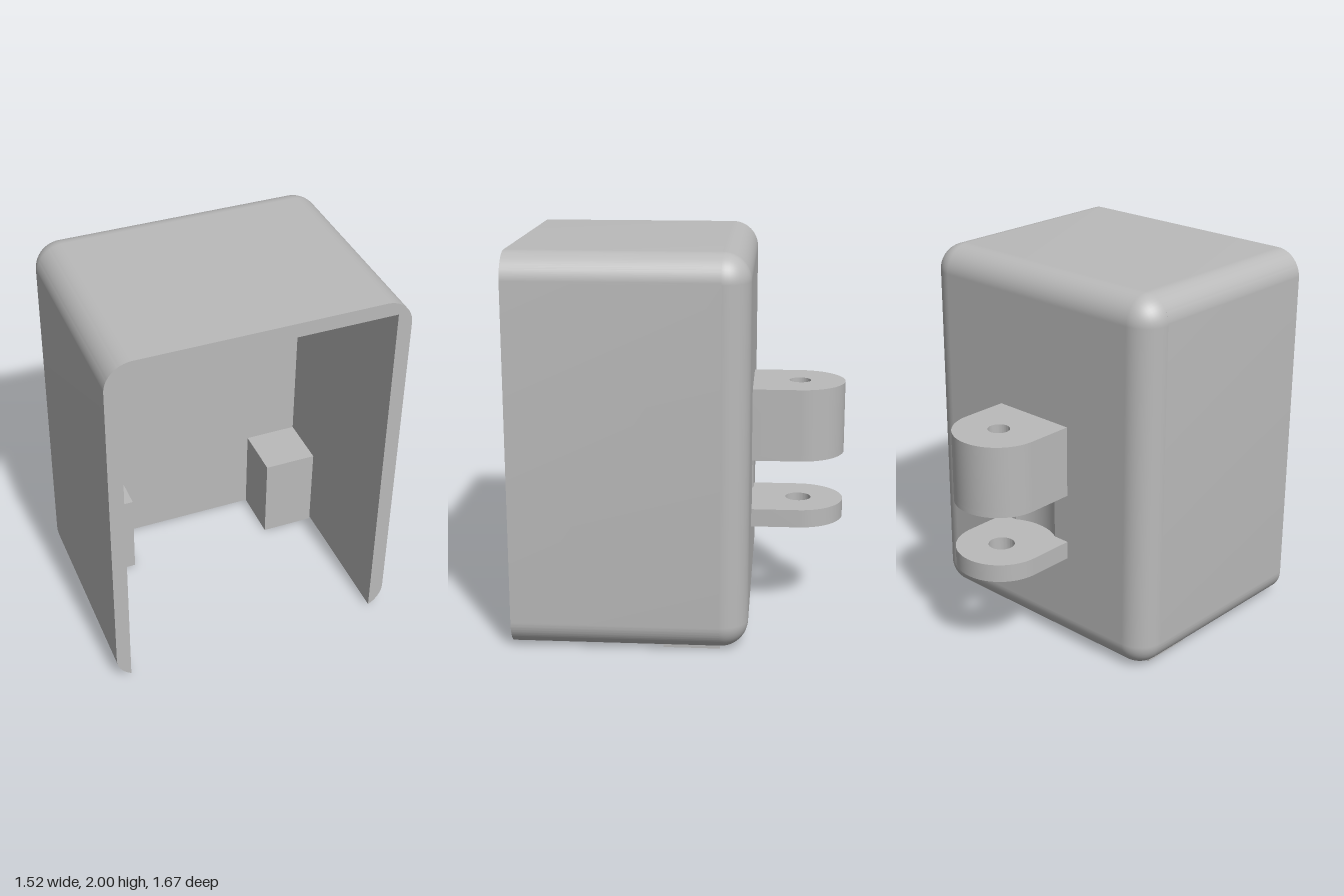
import * as THREE from 'three';
import { toCreasedNormals } from 'three/addons/utils/BufferGeometryUtils.js';

const W = 0.76, H = 2, R = 0.14;             // outer half width, height, edge radius
const IN = 0.685, TOP = 1.925;               // cavity half width and ceiling
const FRONT = 0.835, INNER = -0.215, BACK = INNER - R;
const PIN_Z = -0.6, LUG_R = 0.237, HOLE_R = 0.057, SINK_R = 0.086, SINK = 0.03;

const grey = new THREE.MeshStandardMaterial({ color: 0xbababa, side: THREE.DoubleSide });
grey.name = 'grey plastic';

function part(group, name, geometry) {
  const mesh = new THREE.Mesh(geometry, grey);
  mesh.name = name;
  group.add(mesh);
  return mesh;
}

// Horizontal plate: outline drawn in (x, -z), extruded from y0 to y1
function plate(shape, y0, y1, hole) {
  if (hole) {
    const path = new THREE.Path();
    path.absarc(hole.x, -hole.z, hole.r, 0, Math.PI * 2, true);
    shape.holes = [path];
  } else shape.holes = [];
  const g = new THREE.ExtrudeGeometry(shape, { depth: y1 - y0, bevelEnabled: false, curveSegments: 32 });
  g.rotateX(-Math.PI / 2).translate(0, y0, 0);
  return toCreasedNormals(g, 0.5);
}

// Conical lead-in at the lower end of a hole
function leadIn(x, y, z) {
  return new THREE.CylinderGeometry(HOLE_R, SINK_R, SINK, 32, 1, true).translate(x, y + SINK / 2, z);
}

function rectangle(x0, y0, x1, y1) {
  return new THREE.Shape([[x0, y0], [x1, y0], [x1, y1], [x0, y1]].map(p => new THREE.Vector2(...p)));
}

// Side walls and roof, open at the front and underneath
function wallsGeometry() {
  const cx = W - R, a = Math.acos((IN - cx) / R);
  const s = new THREE.Shape();
  s.absarc(cx, R, R, -a, 0, false);
  s.absarc(cx, H - R, R, 0, Math.PI / 2, false);
  s.absarc(-cx, H - R, R, Math.PI / 2, Math.PI, false);
  s.absarc(-cx, R, R, Math.PI, Math.PI + a, false);
  s.lineTo(-IN, TOP);
  s.lineTo(IN, TOP);
  s.closePath();
  const g = new THREE.ExtrudeGeometry(s, { depth: FRONT - INNER, bevelEnabled: false, curveSegments: 12 });
  return toCreasedNormals(g.translate(0, 0, INNER), 0.5);
}

// Rounded rectangle loop with fixed corner centres and a shrinking radius
function loop(r) {
  const pts = [], n = 12;
  [[1, 1], [-1, 1], [-1, -1], [1, -1]].forEach(([sx, sy], q) => {
    for (let i = 0; i <= n; i++) {
      const t = (q + i / n) * Math.PI / 2;
      pts.push([sx * (W - R) + r * Math.cos(t), H / 2 + sy * (H / 2 - R) + r * Math.sin(t)]);
    }
  });
  return pts;
}

// Rounded rim of the back wall, swept from the walls to the flat back face
function rimGeometry() {
  const pos = [], nor = [], idx = [], rows = 12, m = 52;
  for (let j = 0; j <= rows; j++) {
    const b = (j / rows) * Math.PI / 2;
    loop(R * Math.cos(b)).forEach(([x, y], i) => {
      const t = (Math.floor(i / 13) + (i % 13) / 12) * Math.PI / 2;
      pos.push(x, y, INNER - R * Math.sin(b));
      nor.push(Math.cos(t) * Math.cos(b), Math.sin(t) * Math.cos(b), -Math.sin(b));
    });
  }
  for (let j = 0; j < rows; j++) for (let i = 0; i < m; i++) {
    const a = j * m + i, b = j * m + (i + 1) % m;
    idx.push(a, a + m, b, b, a + m, b + m);
  }
  const g = new THREE.BufferGeometry();
  g.setAttribute('position', new THREE.Float32BufferAttribute(pos, 3));
  g.setAttribute('normal', new THREE.Float32BufferAttribute(nor, 3));
  g.setIndex(idx);
  return g;
}

export function createModel() {
  const model = new THREE.Group();
  model.name = 'hingedCover';

  part(model, 'sideWallsAndRoof', wallsGeometry());
  part(model, 'backRim', rimGeometry());

  // Inner face of the back wall
  const inner = new THREE.Shape(loop(R).map(p => new THREE.Vector2(...p)));
  part(model, 'backInnerFace', new THREE.ShapeGeometry(inner).translate(0, 0, INNER));

  // Flat outer back face with a shallow round recess between the lugs
  const lugLow = [0.5, 0.595], lugHigh = [0.86, 1.24], clearR = 0.285;
  const half = Math.sqrt(clearR ** 2 - (BACK - PIN_Z) ** 2);
  const outer = rectangle(-(W - R), R, W - R, H - R);
  outer.holes.push(rectangle(-half, lugLow[1], half, lugHigh[0]));
  part(model, 'backOuterFace', new THREE.ShapeGeometry(outer).rotateY(Math.PI).translate(0, 0, BACK));
  const phi = Math.asin(half / clearR), gap = lugHigh[0] - lugLow[1];
  const recess = new THREE.CylinderGeometry(clearR, clearR, gap, 16, 1, true, -phi, 2 * phi);
  part(model, 'hingeRecess', recess.translate(0, lugLow[1] + gap / 2, PIN_Z));

  // Hinge lugs with rounded ends, rooted inside the back wall
  const lug = new THREE.Shape();
  lug.moveTo(-LUG_R, 0.29);
  lug.lineTo(LUG_R, 0.29);
  lug.absarc(0, -PIN_Z, LUG_R, 0, Math.PI, false);
  lug.closePath();
  const pin = r => ({ x: 0, z: PIN_Z, r });
  part(model, 'lowerLug', plate(lug, lugLow[0], lugLow[1], pin(0.068)));
  part(model, 'upperLug', plate(lug, lugHigh[0] + SINK, lugHigh[1], pin(HOLE_R)));
  part(model, 'upperLugBase', plate(lug, lugHigh[0], lugHigh[0] + SINK, pin(SINK_R)));
  part(model, 'upperLugLeadIn', leadIn(0, lugHigh[0], PIN_Z));

  // Screw blocks in the rear corners with blind holes from below
  for (const side of [-1, 1]) {
    const group = new THREE.Group();
    group.name = side > 0 ? 'leftScrewBlock' : 'rightScrewBlock';
    const xs = [side * 0.4, side * IN].sort((a, b) => a - b);
    const x = (xs[0] + xs[1]) / 2, z = -0.0725;
    const square = rectangle(xs[0], -0.07, xs[1], -INNER);
    part(group, 'blockBase', plate(square, 0, SINK, { x, z, r: SINK_R }));
    part(group, 'blockBody', plate(square, SINK, 0.38, { x, z, r: HOLE_R }));
    part(group, 'blockTop', plate(square, 0.38, 0.475));
    part(group, 'blockLeadIn', leadIn(x, 0, z));
    model.add(group);
  }
  return model;
}
